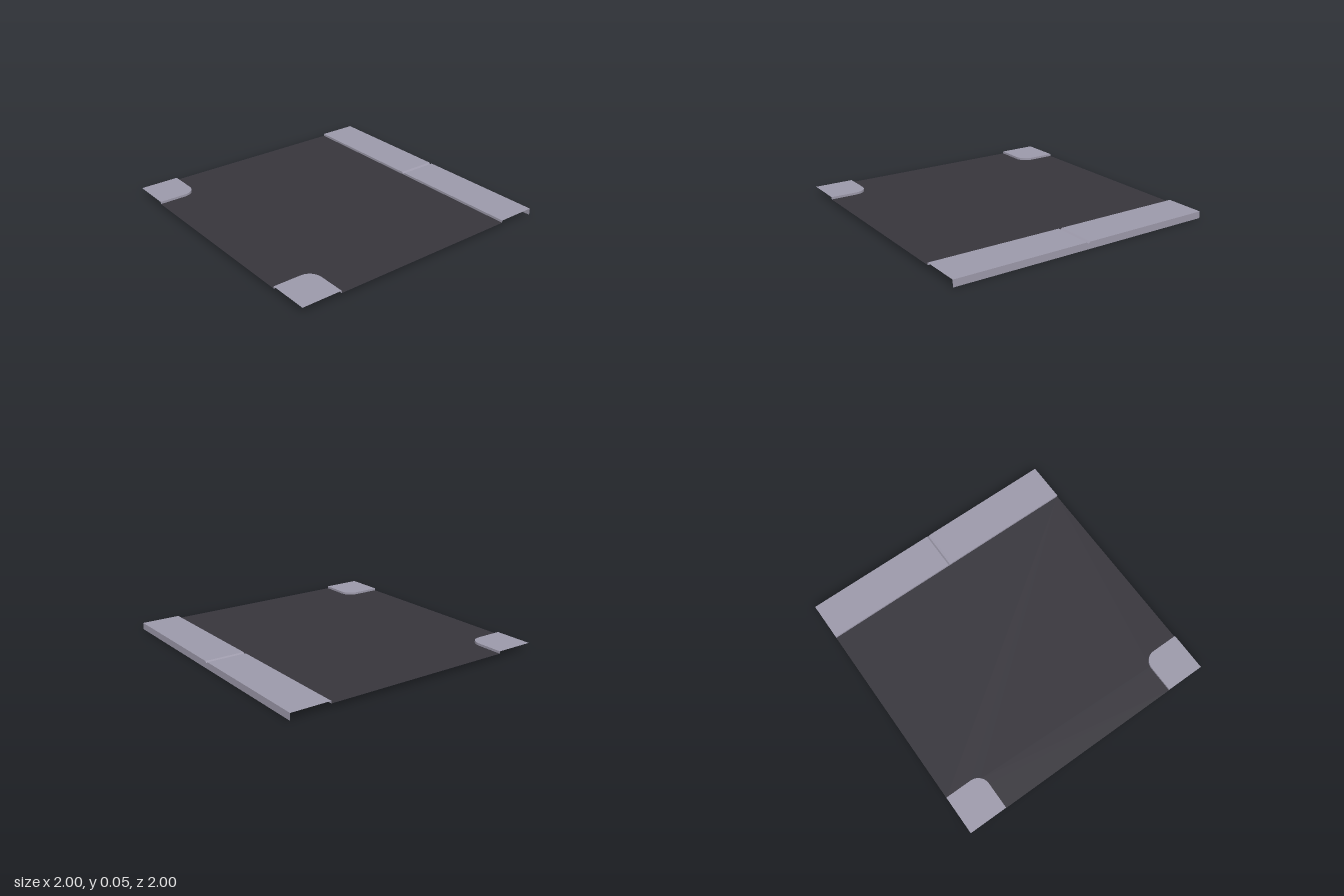
import * as THREE from 'three';

const ROAD_Y = 0.033, CURB_Y = 0.05, EDGE = 0.71, RADIUS = 0.09;
const GROOVE_W = 0.014, GROOVE_Y = 0.039;

// Flat horizontal plate from an outline of [x, z] points
function plate(outline, y) {
  const shape = new THREE.Shape(outline.map(([x, z]) => new THREE.Vector2(x, -z)));
  return new THREE.ShapeGeometry(shape).rotateX(-Math.PI / 2).translate(0, y, 0);
}

// Surface stretched between two rows of [x, y, z] points
function sheet(rowA, rowB) {
  const n = rowA.length, index = [];
  for (let i = 0; i < n - 1; i++) index.push(i, i + 1, n + i + 1, i, n + i + 1, n + i);
  const geo = new THREE.BufferGeometry();
  geo.setAttribute('position', new THREE.Float32BufferAttribute([...rowA, ...rowB].flat(), 3));
  geo.setIndex(index);
  geo.computeVertexNormals();
  return geo;
}

export function createModel() {
  const group = new THREE.Group();
  const asphalt = new THREE.MeshStandardMaterial({ color: 0x37353c, side: THREE.DoubleSide });
  asphalt.name = 'asphalt';
  const pavement = new THREE.MeshStandardMaterial({ color: 0x9c99aa, side: THREE.DoubleSide });
  pavement.name = 'pavement';

  const add = (name, geo, mat) => {
    const mesh = new THREE.Mesh(geo, mat);
    mesh.name = name;
    group.add(mesh);
  };

  // Rounded kerb line of the left corner, and its mirror image
  const leftKerb = [[1, EDGE]];
  for (let i = 0; i <= 8; i++) {
    const t = (i / 8) * Math.PI / 2, c = EDGE + RADIUS;
    leftKerb.push([c - RADIUS * Math.sin(t), c - RADIUS * Math.cos(t)]);
  }
  leftKerb.push([EDGE, 1]);
  const rightKerb = leftKerb.map(([x, z]) => [-x, z]).reverse();

  // Road surface, cut out around the corners
  add('road', plate([[-1, -EDGE], [1, -EDGE], ...leftKerb, ...rightKerb], ROAD_Y), asphalt);

  // Corner pavements: top and kerb wall
  for (const [side, kerb, x] of [['left', leftKerb, 1], ['right', rightKerb, -1]]) {
    add(side + 'CornerTop', plate([...kerb, [x, 1]], CURB_Y), pavement);
    const row = (y) => kerb.map(([px, pz]) => [px, y, pz]);
    add(side + 'CornerKerb', sheet(row(ROAD_Y), row(CURB_Y)), pavement);
  }

  // Back pavement with a V-shaped joint across its middle
  const profile = [[-1, CURB_Y], [-GROOVE_W, CURB_Y], [0, GROOVE_Y], [GROOVE_W, CURB_Y], [1, CURB_Y]];
  const row = (z, bottom) => profile.map(([x, y]) => [x, bottom ?? y, z]);
  const top = sheet(row(-EDGE), row(-1)).toNonIndexed();
  top.computeVertexNormals();
  add('backPavementTop', top, pavement);
  add('backPavementKerb', sheet(row(-EDGE, ROAD_Y), row(-EDGE)), pavement);
  add('backSkirt', sheet(row(-1, 0).reverse(), row(-1).reverse()), pavement);

  return group;
}
